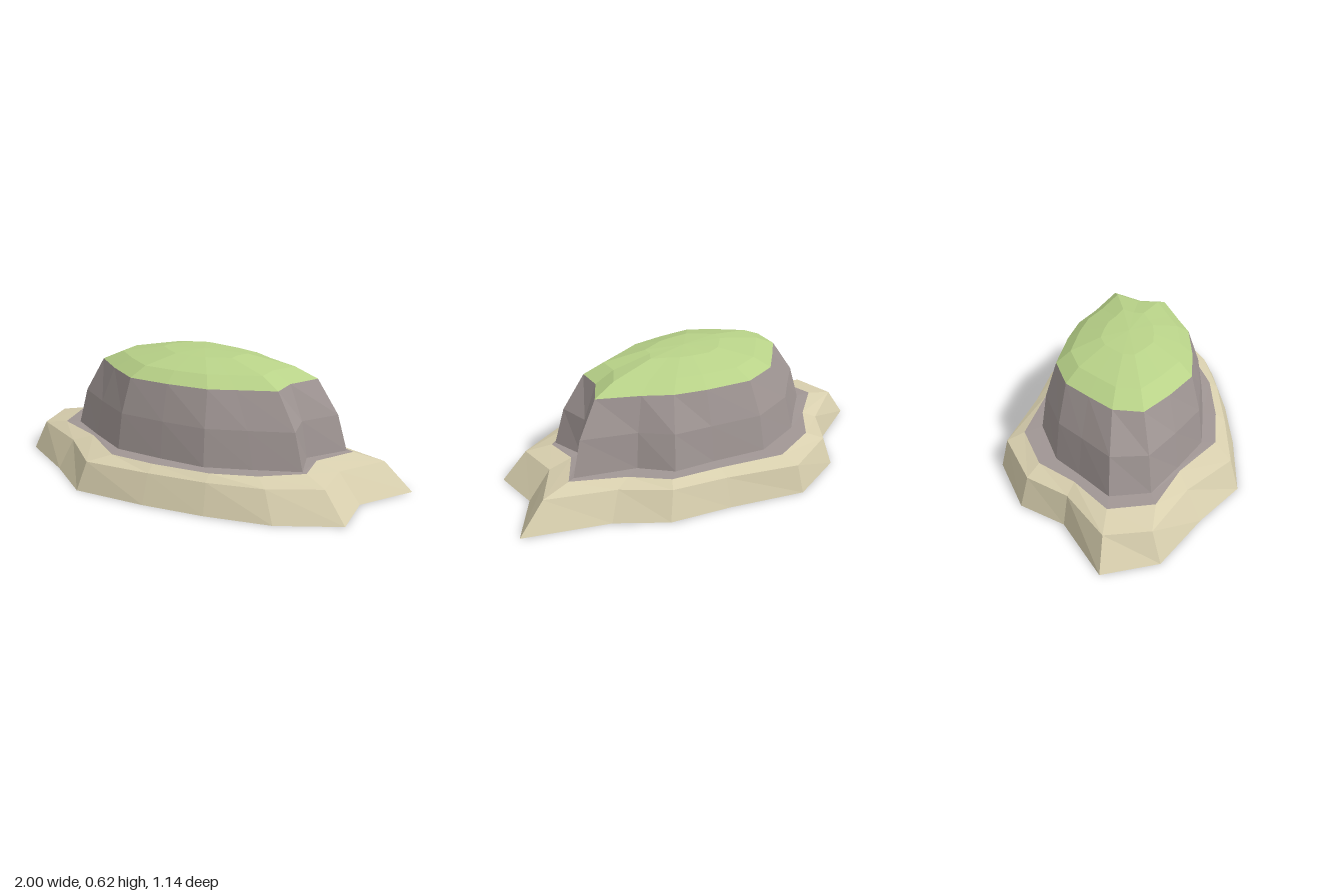
import * as THREE from 'three';

// Irregular outlines as x, z pairs, 16 corners each, running left, back, right, front.
const shore = [-1, -.02, -.70, -.215, -.59, -.43, -.30, -.575, .065, -.50, .365, -.46, .595, -.325, 1, -.215,
  .84, .045, .87, .29, .59, .44, .28, .51, -.02, .55, -.38, .57, -.62, .40, -.91, .235];
const beachEdge = [-.905, -.015, -.665, -.20, -.555, -.40, -.285, -.545, .065, -.46, .33, -.42, .54, -.285, .865, -.185,
  .73, .04, .755, .26, .525, .39, .265, .46, -.02, .50, -.345, .53, -.575, .335, -.86, .195];
const beachInner = [-.77, -.01, -.60, -.175, -.48, -.355, -.25, -.465, .065, -.41, .31, -.38, .47, -.255, .72, -.15,
  .615, .04, .64, .205, .465, .34, .26, .42, -.02, .455, -.25, .455, -.48, .295, -.72, .20];
const cliffFoot = [-.69, -.01, -.55, -.16, -.445, -.28, -.20, -.385, .065, -.35, .265, -.335, .40, -.215, .69, -.14,
  .565, .04, .62, .205, .415, .295, .205, .38, -.02, .39, -.26, .39, -.46, .285, -.65, .175];
const cliffTop = [-.515, -.01, -.425, -.125, -.33, -.24, -.16, -.31, .065, -.285, .22, -.25, .35, -.18, .545, -.10,
  .47, .04, .47, .165, .295, .245, .18, .30, -.02, .325, -.22, .33, -.38, .235, -.52, .13];

// Place an outline at a height
const ring = (outline, y) => Array.from({ length: 16 }, (_, i) =>
  new THREE.Vector3(outline[2 * i], y, outline[2 * i + 1]));
// Blend two rings corner by corner
const blend = (a, b, t, y) => a.map((p, i) => p.clone().lerp(b[i], t).setY(y));
// Shrink a ring towards a centre
const shrink = (a, s, y, centre) => a.map(p => p.clone().lerp(centre, 1 - s).setY(y));

// Skin a stack of rings, bottom to top, with an optional closing peak
function loft(name, rings, material, peak) {
  const points = rings.flat();
  const index = [];
  for (let r = 0; r < rings.length - 1; r++) {
    for (let i = 0; i < 16; i++) {
      const j = (i + 1) % 16;
      const a = r * 16 + i, b = r * 16 + j, c = b + 16, d = a + 16;
      index.push(a, d, c, a, c, b);
    }
  }
  if (peak) {
    const last = (rings.length - 1) * 16;
    for (let i = 0; i < 16; i++) index.push(last + i, points.length, last + (i + 1) % 16);
    points.push(peak);
  }
  const indexed = new THREE.BufferGeometry().setFromPoints(points);
  indexed.setIndex(index);
  const geometry = indexed.toNonIndexed();
  geometry.computeVertexNormals();
  const mesh = new THREE.Mesh(geometry, material);
  mesh.name = name;
  return mesh;
}

export function createModel() {
  const flat = (name, color) => {
    const m = new THREE.MeshStandardMaterial({ color, flatShading: true, side: THREE.DoubleSide });
    m.name = name;
    return m;
  };
  const sand = flat('sand', 0xd8cfae);
  const rock = flat('rock', 0xa09694);
  const grass = flat('grass', 0xb8d288);

  const island = new THREE.Group();
  island.name = 'island';

  // Sloping beach, open underneath
  const inner = ring(beachInner, .17);
  island.add(loft('beach', [ring(shore, 0), ring(beachEdge, .14), inner], sand));

  // Rock ledge and cliff, steepest near the foot
  const foot = ring(cliffFoot, .174);
  const rim = ring(cliffTop, .52);
  island.add(loft('cliff', [inner, foot, blend(foot, rim, .32, .35), rim], rock));

  // Low grassy dome
  const peak = new THREE.Vector3(0, .62, .02);
  island.add(loft('grassTop', [rim, shrink(rim, .8, .57, peak), shrink(rim, .39, .612, peak)], grass, peak));

  return island;
}
